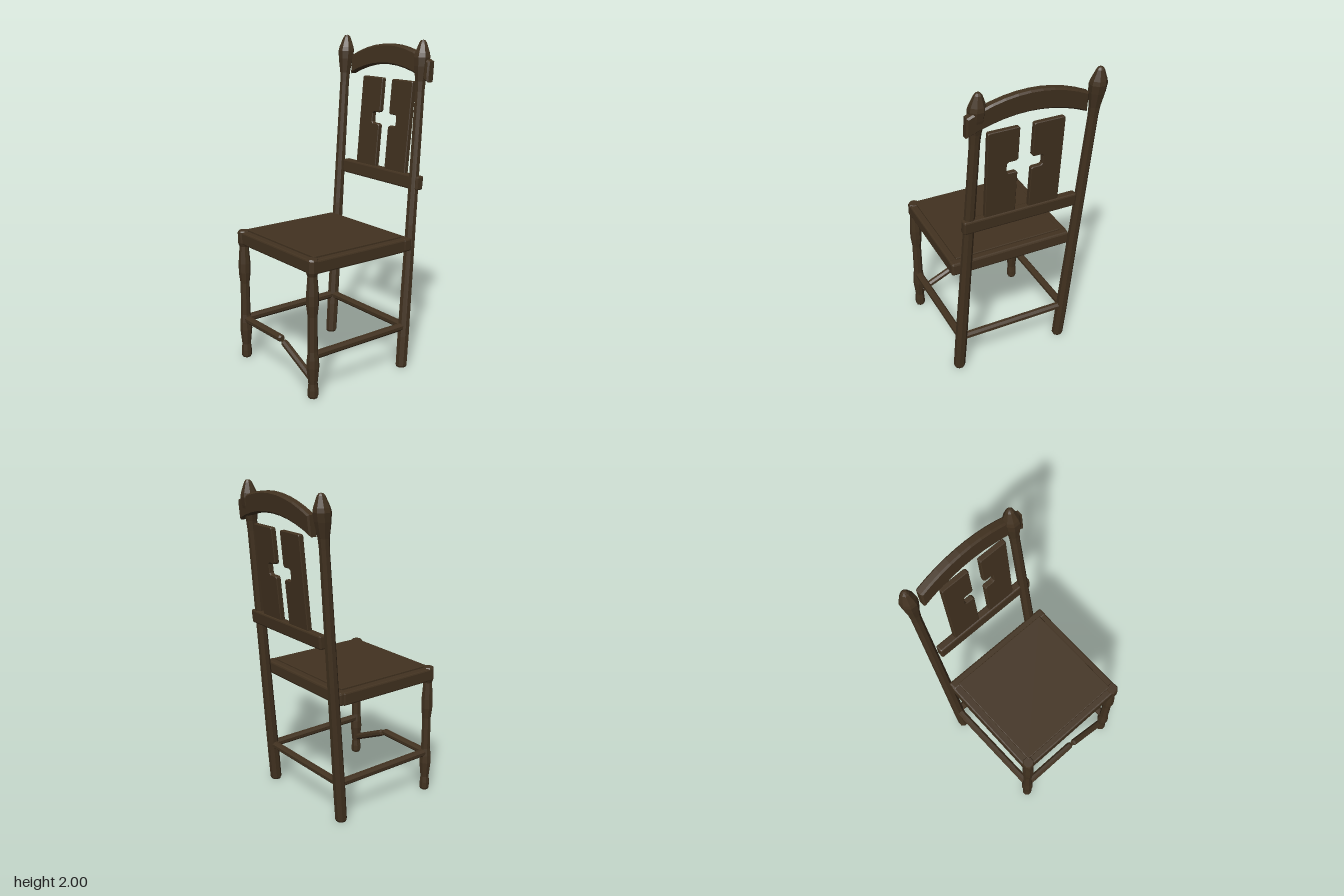
import * as THREE from 'three';
import { RoundedBoxGeometry } from 'three/addons/geometries/RoundedBoxGeometry.js';

const CX = 0.04;        // middle of the chair across x
const HALF = 0.358;     // half the spacing of the legs
const BACK_Z = -0.245;  // foot of the back posts
const LEAN_Z = -0.094;  // backward lean per unit height
const LEAN_X = -0.037;  // sideways lean of the posts

export function createModel() {
  const chair = new THREE.Group();
  chair.name = 'chair';
  const wood = new THREE.MeshStandardMaterial({ color: 0x423220 });
  wood.name = 'darkWood';

  // adds a mesh with faceted normals
  function add(name, geometry, parent = chair) {
    const g = geometry.index ? geometry.toNonIndexed() : geometry;
    g.computeVertexNormals();
    const mesh = new THREE.Mesh(g, wood);
    mesh.name = name;
    parent.add(mesh);
    return mesh;
  }

  // box with chamfered edges, given by its limits
  function block(x0, x1, y0, y1, z0, z1, r = 0.01) {
    return new RoundedBoxGeometry(x1 - x0, y1 - y0, z1 - z0, 1, r)
      .translate((x0 + x1) / 2, (y0 + y1) / 2, (z0 + z1) / 2);
  }

  // eight-sided turned piece from [radius, height] pairs
  function turned(profile) {
    const pts = profile.map(([r, y]) => new THREE.Vector2(r * 1.07, y));
    return new THREE.LatheGeometry(pts, 8).rotateY(Math.PI / 8);
  }

  // slants a geometry along the lean of the back
  function lean(geometry, kx, kz, z = 0) {
    const p = geometry.attributes.position;
    for (let i = 0; i < p.count; i++) {
      const y = p.getY(i);
      p.setX(i, p.getX(i) + kx * y);
      p.setZ(i, p.getZ(i) + z + kz * y);
    }
    return geometry;
  }

  // bevelled plank from a shape, centred on z
  function plank(shape, thick, bevel) {
    const depth = thick - 2 * bevel;
    return new THREE.ExtrudeGeometry(shape, {
      depth, bevelEnabled: true, bevelThickness: bevel, bevelSize: bevel,
      bevelOffset: -bevel, bevelSegments: 1, curveSegments: 10,
    }).translate(0, 0, -depth / 2);
  }

  // round bar with softened ends between two points
  function bar(name, a, b, r = 0.023) {
    const A = new THREE.Vector3(...a), B = new THREE.Vector3(...b);
    const L = A.distanceTo(B);
    const g = turned([[0, 0], [r * 0.7, 0], [r, 0.012], [r, L - 0.012], [r * 0.7, L], [0, L]]);
    const mesh = add(name, g);
    mesh.position.copy(A);
    mesh.quaternion.setFromUnitVectors(new THREE.Vector3(0, 1, 0), B.sub(A).normalize());
  }

  const postProfile = [
    [0, 0], [0.029, 0], [0.034, 0.012], [0.035, 0.2], [0.031, 0.9], [0.028, 1.7],
    [0.031, 1.76], [0.045, 1.85], [0.049, 1.9], [0.044, 1.925], [0.022, 1.985], [0.012, 1.998], [0, 2],
  ];
  const legProfile = [
    [0, 0], [0.025, 0], [0.03, 0.012], [0.03, 0.05], [0.026, 0.09], [0.036, 0.19], [0.034, 0.24],
    [0.028, 0.29], [0.027, 0.5], [0.035, 0.57], [0.035, 0.63], [0.027, 0.74],
    [0.035, 0.765], [0.035, 0.832], [0.029, 0.842], [0, 0.842],
  ];

  for (const s of [-1, 1]) {
    const side = s > 0 ? 'left' : 'right';
    const x = CX + s * HALF;
    // legs and leaning posts
    const post = lean(turned(postProfile), LEAN_X, LEAN_Z);
    add(side + 'BackPost', post.translate(x, 0, BACK_Z));
    add(side + 'FrontLeg', turned(legProfile).translate(x, 0, 0.441));

    // side frame rail and side stretcher
    add(side + 'SeatRail', block(x - 0.034, x + 0.034, 0.755, 0.836, -0.25, 0.44));
    bar(side + 'Stretcher', [x, 0.26, 0.44], [x - 0.01, 0.26, -0.26]);

    // back panel half with a notch on its inner edge
    const outline = [
      [0.0425, 1.19], [0.231, 1.19], [0.231, 1.745], [0.224, 1.752], [0.05, 1.752], [0.0425, 1.745],
      [0.0425, 1.547], [0.052, 1.537], [0.1, 1.537], [0.11, 1.527],
      [0.11, 1.475], [0.1, 1.465], [0.052, 1.465], [0.0425, 1.455],
    ];
    const shape = new THREE.Shape(outline.map(([u, y]) => new THREE.Vector2(CX + s * u, y)));
    add(side + 'BackPanel', lean(plank(shape, 0.032, 0.004), 0, LEAN_Z, BACK_Z - 0.012));
  }

  // front and back of the seat frame, with the raised seat board
  add('frontSeatRail', block(CX - HALF, CX + HALF, 0.755, 0.836, 0.4, 0.467));
  add('backSeatRail', block(CX - 0.388, CX + 0.395, 0.757, 0.838, -0.277, -0.215, 0.012));
  add('seatBoard', block(-0.305, 0.39, 0.805, 0.848, -0.233, 0.425, 0.004));

  // back stretcher and the two pieces of the broken front stretcher
  bar('backStretcher', [CX - HALF, 0.26, -0.268], [CX + HALF, 0.26, -0.268]);
  bar('brokenStretcherLong', [CX - HALF, 0.257, 0.44], [0.088, 0.257, 0.44], 0.022);
  bar('brokenStretcherFallen', [0.102, 0.245, 0.44], [0.385, 0.115, 0.44], 0.021);

  // lower cross rail of the back
  add('lowerBackRail', lean(block(-0.315, 0.4, 1.113, 1.198, -0.026, 0.026), 0, LEAN_Z, BACK_Z - 0.012));

  // arched top rail
  const arch = new THREE.Shape();
  arch.moveTo(-0.315, 1.757);
  arch.quadraticCurveTo(CX, 1.922, 0.4, 1.757);
  arch.lineTo(0.4, 1.877);
  arch.quadraticCurveTo(CX, 2.05, -0.315, 1.877);
  arch.closePath();
  add('archedTopRail', lean(plank(arch, 0.054, 0.01), 0, LEAN_Z, BACK_Z - 0.015));

  return chair;
}
